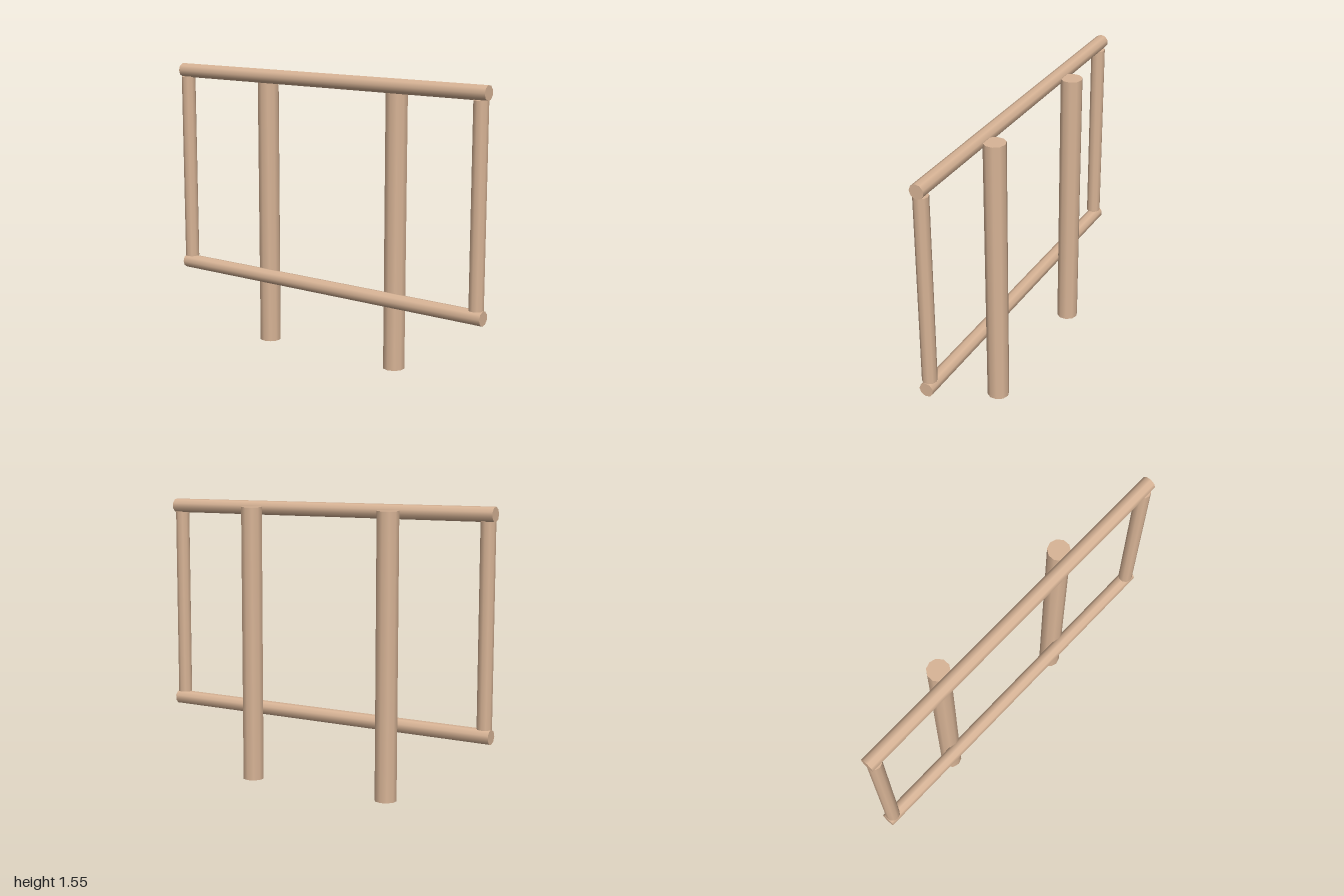
import * as THREE from 'three';

export function createModel() {
  const model = new THREE.Group();
  const wood = new THREE.MeshStandardMaterial({ color: 0xd8b496 });
  wood.name = 'pale wood';

  // Round pole of a given radius and length, centred at (x, y, z)
  function pole(name, radius, length, sides, x, y, z, lying = false) {
    const geometry = new THREE.CylinderGeometry(radius, radius, length, sides);
    if (lying) geometry.rotateZ(Math.PI / 2);
    const mesh = new THREE.Mesh(geometry, wood);
    mesh.name = name;
    mesh.position.set(x, y, z);
    model.add(mesh);
  }

  // Thick ground posts behind the frame
  pole('rightPost', 0.059, 1.515, 10, -0.44, 0.7575, -0.031);
  pole('leftPost', 0.059, 1.515, 10, 0.414, 0.7575, -0.031);

  // Long horizontal rails
  pole('topRail', 0.039, 2, 9, 0, 1.508, 0.05, true);
  pole('bottomRail', 0.039, 2, 9, 0, 0.393, 0.05, true);

  // Short uprights between the rail ends
  pole('rightUpright', 0.039, 1.042, 10, -0.961, 0.951, 0.052);
  pole('leftUpright', 0.039, 1.042, 10, 0.96, 0.951, 0.052);

  return model;
}
